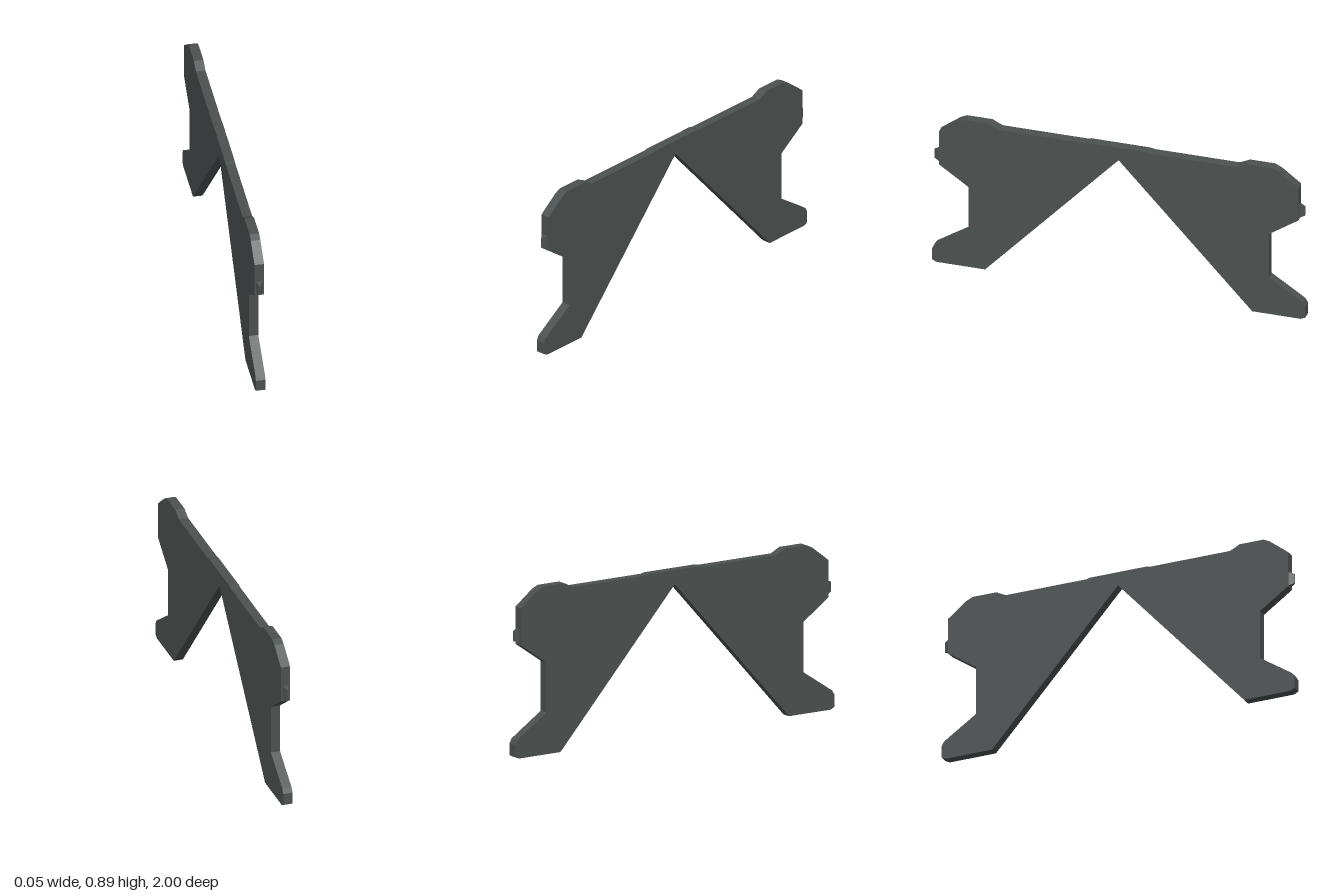
import * as THREE from 'three';

export function createModel() {
  const group = new THREE.Group();
  const darkGrey = new THREE.MeshStandardMaterial({ color: 0x4c5251 });
  darkGrey.name = 'darkGrey';
  const thickness = 0.05;

  // Half outline (z, y), from the top centre round to the apex of the opening
  const half = [
    [0, 0.865], [0.16, 0.865], [0.18, 0.86], [0.635, 0.86], [0.69, 0.887],
    [0.825, 0.887], [0.86, 0.87], [0.963, 0.79], [0.963, 0.595], [0.805, 0.485],
    [0.805, 0.22], [0.985, 0.1], [1, 0.075], [1, 0.012], [0.975, 0],
    [0.715, 0], [0, 0.79],
  ];
  const mirrored = half.slice(1, -1).reverse().map(([z, y]) => [-z, y]);
  const outline = [...half, ...mirrored].map(([z, y]) => new THREE.Vector2(z, y));

  // Flat plate, turned so that it lies in the z-y plane
  const plate = new THREE.ExtrudeGeometry(new THREE.Shape(outline), {
    depth: thickness, bevelEnabled: false,
  });
  plate.translate(0, 0, -thickness / 2).rotateY(-Math.PI / 2);
  const body = new THREE.Mesh(plate, darkGrey);
  body.name = 'legPlate';
  group.add(body);

  // Tapered latch on each end: a box with its outer face narrowed
  const latch = new THREE.BoxGeometry(0.032, 0.077, 0.032);
  const pos = latch.attributes.position;
  for (let i = 0; i < pos.count; i++) {
    if (pos.getZ(i) > 0) {
      pos.setX(i, pos.getX(i) * 0.22);
      pos.setY(i, pos.getY(i) * 0.7);
    }
  }
  const latchFlat = latch.toNonIndexed();
  latchFlat.computeVertexNormals();
  for (const side of [1, -1]) {
    const mesh = new THREE.Mesh(latchFlat, darkGrey);
    mesh.name = side > 0 ? 'frontLatch' : 'backLatch';
    mesh.position.set(0, 0.643, side * 0.975);
    mesh.rotation.y = side > 0 ? 0 : Math.PI;
    group.add(mesh);
  }
  return group;
}
